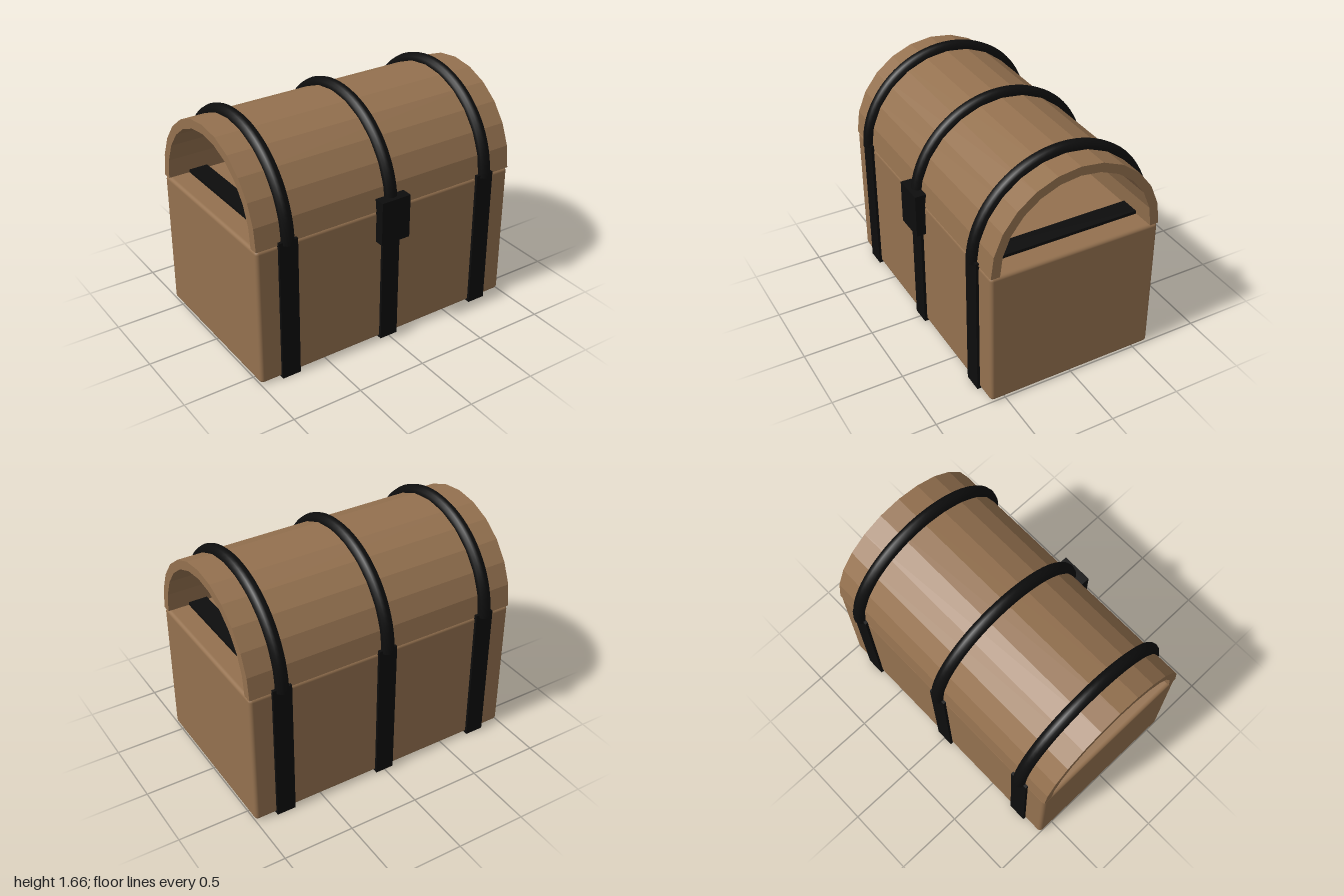
import * as THREE from 'three';
import { RoundedBoxGeometry } from 'three/addons/geometries/RoundedBoxGeometry.js';

export function createModel() {
  const wood = new THREE.MeshStandardMaterial({ color: 0x94714f });
  wood.name = 'brown wood';
  const iron = new THREE.MeshStandardMaterial({ color: 0x0d0d0d });
  iron.name = 'black iron';

  const chest = new THREE.Group();
  chest.name = 'chest';
  const midZ = -0.007;

  function add(name, geometry, material, x, y, z) {
    const mesh = new THREE.Mesh(geometry, material);
    mesh.name = name;
    mesh.position.set(x, y, z);
    chest.add(mesh);
    return mesh;
  }

  // Solid body with softened edges
  add('body', new RoundedBoxGeometry(2, 0.994, 1.222, 2, 0.025), wood, 0, 0.503, midZ);

  // Half-round lid shell, open at both ends, in twelve flat staves
  const arc = (radius, i) => {
    const a = (i / 12) * Math.PI;
    return new THREE.Vector2(Math.cos(a) * radius, Math.sin(a) * radius);
  };
  const outline = [];
  for (let i = 0; i <= 12; i++) outline.push(arc(0.611, i));
  for (let i = 12; i >= 0; i--) outline.push(arc(0.548, i));
  const lidGeometry = new THREE.ExtrudeGeometry(new THREE.Shape(outline), {
    depth: 2, bevelEnabled: false,
  });
  lidGeometry.translate(0, 0, -1);
  lidGeometry.rotateY(Math.PI / 2);
  add('lid', lidGeometry, wood, 0, 1, midZ);

  // Iron straps around the body, each with a round hoop over the lid
  for (const x of [-0.78, 0, 0.78]) {
    add('strap', new THREE.BoxGeometry(0.135, 1.022, 1.26), iron, x, 0.511, midZ);
    const hoop = new THREE.TorusGeometry(0.616, 0.045, 12, 40, Math.PI);
    hoop.rotateY(Math.PI / 2);
    add('hoop', hoop, iron, x, 1.0, -0.01);
  }

  // Lock plate on the front
  add('lock', new THREE.BoxGeometry(0.22, 0.31, 0.09), iron, 0, 0.935, 0.626);

  return chest;
}
